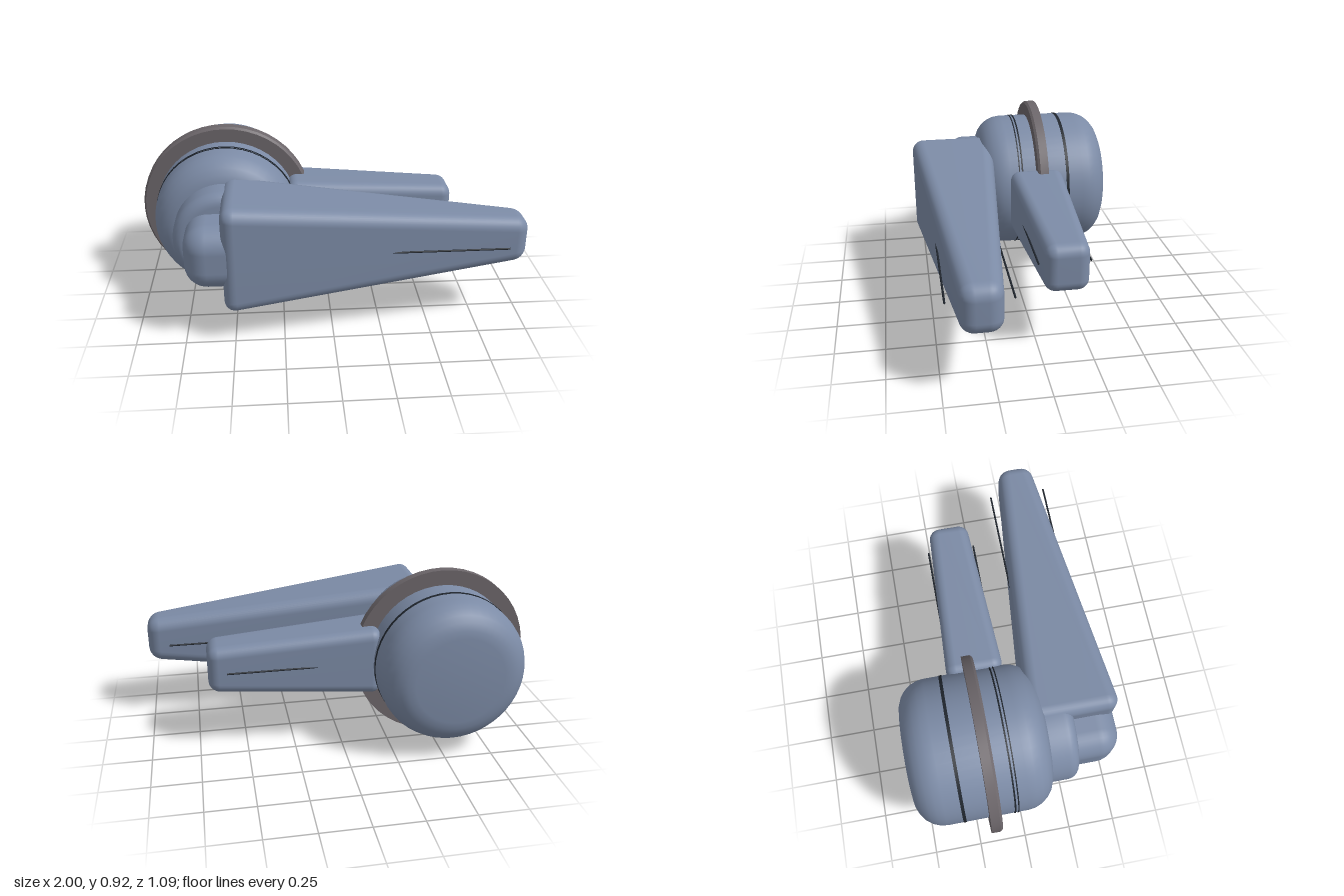
import * as THREE from 'three';
import { mergeVertices, toCreasedNormals } from 'three/addons/utils/BufferGeometryUtils.js';
import { RoundedBoxGeometry } from 'three/addons/geometries/RoundedBoxGeometry.js';

const AX = -0.54, AY = 0.463; // drum axis, running along z

const mat = (name, color) => Object.assign(new THREE.MeshStandardMaterial({ color }), { name });

// Profile points of a quarter-round edge, from angle a to b (degrees)
function arc(cr, cz, r, a, b, n = 6) {
  return Array.from({ length: n + 1 }, (_, i) => {
    const t = THREE.MathUtils.degToRad(a + (b - a) * i / n);
    return [cr + r * Math.cos(t), cz + r * Math.sin(t)];
  });
}

// Lathe around the drum axis from [radius, z] points, listed back to front
function turned(points, crease = 0.5) {
  const g = new THREE.LatheGeometry(points.map(([r, z]) => new THREE.Vector2(r, z)), 48);
  g.rotateX(Math.PI / 2);
  g.translate(AX, AY, 0);
  return toCreasedNormals(g, crease);
}

// Rounded bar along x that tapers from root to tip, keeping its corner radius
function taperedBar(x0, x1, z, [hy0, hz0], [hy1, hz1], r) {
  const len = x1 - x0;
  const g = new RoundedBoxGeometry(len, 2 * hy0, 2 * hz0, 4, r);
  const p = g.attributes.position;
  for (let i = 0; i < p.count; i++) {
    const t = p.getX(i) / len + 0.5;
    p.setY(i, p.getY(i) + Math.sign(p.getY(i)) * (hy1 - hy0) * t);
    p.setZ(i, p.getZ(i) + Math.sign(p.getZ(i)) * (hz1 - hz0) * t);
  }
  g.deleteAttribute('uv');
  g.deleteAttribute('normal');
  g.clearGroups();
  const smooth = mergeVertices(g, 1e-5);
  smooth.computeVertexNormals();
  smooth.translate((x0 + x1) / 2, AY + 0.002, z);
  return smooth;
}

export function createModel() {
  const model = new THREE.Group();
  model.name = 'twinArmDrum';
  const blue = mat('slate blue', 0x7c8ba6);
  const grey = mat('warm grey', 0x6c666a);
  const dark = mat('dark seam', 0x20262e);
  const add = (name, geometry, material) => {
    const m = new THREE.Mesh(geometry, material);
    m.name = name;
    model.add(m);
    return m;
  };

  // Drum with rounded ends
  add('drum', turned([
    [0, -0.548], ...arc(0.23, -0.398, 0.15, -90, 0), ...arc(0.23, 0.018, 0.15, 0, 90), [0, 0.168],
  ]), blue);

  // Flange ring, bevelled at the front edge
  add('flange', turned([
    [0.36, -0.188], [0.46, -0.188], [0.46, -0.142], [0.45, -0.13], [0.36, -0.13],
  ]), grey);

  // Seam bands around the drum
  for (const [z, w] of [[-0.31, 0.016], [-0.036, 0.006], [-0.053, 0.008]]) {
    add('seamBand', turned([
      [0.375, z - w / 2], [0.3825, z - w / 2], [0.3825, z + w / 2], [0.375, z + w / 2],
    ]), dark);
  }

  // Round collar and boxy elbow carrying the front arm
  add('collar', turned([
    [0.265, 0.1], [0.265, 0.25], ...arc(0.205, 0.25, 0.06, 0, 90), [0, 0.31],
  ]), blue);
  const elbow = add('elbow', new RoundedBoxGeometry(0.39, 0.33, 0.4, 5, 0.115), blue);
  elbow.position.set(AX, AY + 0.002, 0.335);

  // Tapered arms
  add('frontArm', taperedBar(-0.545, 0.997, 0.313, [0.287, 0.238], [0.117, 0.094], 0.065), blue);
  add('rearArm', taperedBar(-0.21, 0.685, -0.128, [0.183, 0.15], [0.121, 0.107], 0.055), blue);

  // Thin rods emerging from both sides of each arm
  for (const [x0, x1, z] of [
    [0.25, 0.88, 0.157], [0.25, 0.88, 0.468], [0.1, 0.59, -0.257], [0.1, 0.59, 0],
  ]) {
    const g = new THREE.CylinderGeometry(0.005, 0.005, x1 - x0, 8);
    g.rotateZ(Math.PI / 2);
    add('armRod', g, dark).position.set((x0 + x1) / 2, AY + 0.002, z);
  }
  return model;
}
